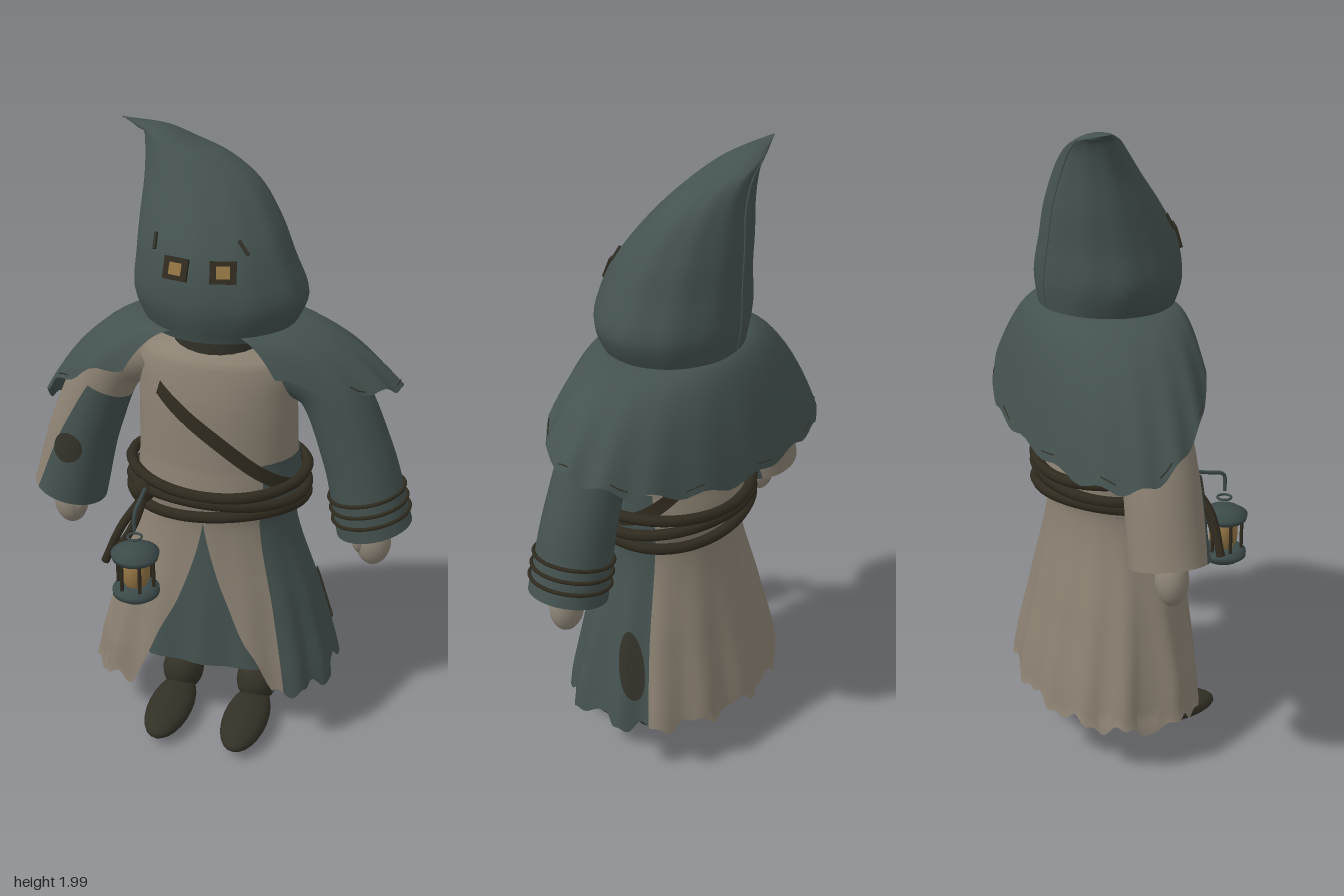
import * as THREE from 'three';
import { ParametricGeometry } from 'three/addons/geometries/ParametricGeometry.js';

const material = (name, color) => new THREE.MeshStandardMaterial({ name, color, side: THREE.DoubleSide });
const teal = material('tealCloth', 0x445250);
const tan = material('tanCloth', 0x8b8172);
const rope = material('darkRope', 0x302b1f);
const boot = material('bootLeather', 0x333126);
const patchMat = material('patchBrown', 0x34332a);
const skin = material('gloveTan', 0x8f8678);
const amber = material('amberGlow', 0x937544);
const metal = material('lanternMetal', 0x3c4a4a);

const { lerp, clamp } = THREE.MathUtils;
const TAU = Math.PI * 2;
const V = (x, y, z) => new THREE.Vector3(x, y, z);

// Smooth interpolation between rows of numbers, at a fractional row index
function sample(rows, t) {
  const i = Math.min(Math.floor(t), rows.length - 2), f = t - i;
  const at = k => rows[clamp(k, 0, rows.length - 1)];
  return rows[0].map((_, c) => {
    const [p, q, r, s] = [at(i - 1)[c], at(i)[c], at(i + 1)[c], at(i + 2)[c]];
    return q + 0.5 * f * (r - p + f * (2 * p - 5 * q + 4 * r - s + f * (3 * (q - r) + s - p)));
  });
}

export function createModel() {
  const model = new THREE.Group();
  model.name = 'hoodedWanderer';

  const add = (name, geometry, mat, pos = [0, 0, 0], scale = [1, 1, 1], parent = model) => {
    const m = new THREE.Mesh(geometry, mat);
    m.name = name;
    m.position.set(...pos);
    m.scale.set(...scale);
    parent.add(m);
    return m;
  };
  const sheet = (name, fn, nu, nv, mat) =>
    add(name, new ParametricGeometry((u, v, out) => out.copy(fn(u, v)), nu, nv), mat);
  const tube = (name, points, r, mat, closed = false) =>
    add(name, new THREE.TubeGeometry(new THREE.CatmullRomCurve3(points, closed), closed ? 72 : 20, r, 7, closed), mat);
  const ringOf = (n, fn) => Array.from({ length: n }, (_, i) => fn(i / n * TAU));
  // Oval patch laid on a surface fn(angle, height)
  const oval = (name, fn, a, h, ra, rh, slant = 0) => sheet(name, (u, v) => {
    const k = 0.02 + 0.98 * v, dh = Math.sin(u * TAU) * k;
    return fn(a + ra * Math.cos(u * TAU) * k + slant * dh, h + rh * dh);
  }, 24, 6, patchMat);

  // Robe cross-sections: height, half width, half depth, centre z
  const robeRows = [[0.1, 0.43, 0.29, -0.06], [0.2, 0.405, 0.275, -0.055], [0.5, 0.335, 0.235, -0.035],
    [0.8, 0.25, 0.195, -0.022], [0.9, 0.262, 0.208, -0.025], [1.0, 0.255, 0.19, -0.02],
    [1.2, 0.25, 0.165, -0.01], [1.335, 0.235, 0.135, -0.012], [1.39, 0.1, 0.09, -0.03]];
  // The skirt front is broader and flatter towards the hem
  const robe = (a, y, off = 0) => {
    let i = 0;
    while (i < robeRows.length - 2 && y > robeRows[i + 1][0]) i++;
    const f = clamp((y - robeRows[i][0]) / (robeRows[i + 1][0] - robeRows[i][0]), 0, 1);
    const [, w, d, cz] = sample(robeRows, i + f);
    const low = clamp((0.8 - y) / 0.5, 0, 1);
    const fold = 1 + 0.022 * Math.cos(14 * a) * low;
    const c = Math.cos(a), depth = c > 0 ? Math.pow(c, 1 - 0.42 * low) : c;
    return V((w + off) * fold * Math.sin(a), y, cz + (d + off) * fold * depth);
  };

  // Torso, with the coloured side panel reaching above the belt
  sheet('torso', (u, v) => robe(u * TAU, lerp(0.82, 1.39, v)), 48, 24, tan);
  sheet('torsoSidePanel', (u, v) => robe(lerp(0.75, 2.1, u), lerp(0.82, 1.02, v), 0.004), 16, 6, teal);

  // Skirt, split at the front with a ragged hem
  const hem = a => 0.2 + 0.03 * Math.sin(a) + 0.014 * Math.sin(13 * a) + 0.009 * Math.sin(29 * a);
  const skirt = (name, a0, a1, n, mat) => sheet(name, (u, v) => {
    const slit = 0.64 * Math.pow(1 - v, 1.15);
    const a = lerp(a0 ?? slit, a1 ?? TAU - slit, u);
    return robe(a, lerp(hem(a), 0.82, v));
  }, n, 18, mat);
  skirt('skirtFrontFlap', null, 0.75, 14, tan);
  skirt('skirtSidePanel', 0.75, 2.1, 34, teal);
  skirt('skirtBack', 2.1, null, 84, tan);
  oval('skirtPatch', (a, y) => robe(a, y, 0.008), 1.9, 0.44, 0.15, 0.115, -0.06);

  // Open underskirt, seen through the slit
  sheet('underskirt', (u, v) => robe(u * TAU, lerp(0.3, 0.84, v), -0.02), 64, 14, teal);

  // Rope belt, knot and hanging end
  [0.86, 0.9, 0.942].forEach((y, i) => tube('beltRope', ringOf(32, a => {
    const p = robe(a, 0.9, 0.022);
    p.y = y + 0.011 * Math.sin(2 * a + i * 2.1);
    return p;
  }), 0.018, rope, true));
  add('beltKnot', new THREE.SphereGeometry(0.04, 14, 10), rope, [-0.2, 0.9, 0.155], [1, 1, 0.9]);
  [0, 0.035].forEach(d => tube('ropeEnd', [V(-0.19, 0.89, 0.17), V(-0.25 + d, 0.8, 0.22), V(-0.305 + d, 0.67 + d, 0.235)], 0.014, rope));

  // Shoulder strap running over the chest, past the hip and up the back
  const strapRows = [[-0.62, 1.25], [0.1, 1.12], [0.75, 0.99], [1.3, 0.93], [1.9, 0.95], [2.7, 1.07], [3.7, 1.27]];
  sheet('strap', (u, v) => {
    const [a, y] = sample(strapRows, u * 6);
    return robe(a + (v - 0.5) * 0.08 * Math.cos(a), y + (v - 0.5) * 0.042, 0.012);
  }, 60, 1, rope);

  // Neck in the shade of the hood
  add('neck', new THREE.CylinderGeometry(0.15, 0.14, 0.12, 24), patchMat, [0, 1.405, -0.025], [1, 1, 0.85]);

  // Shoulder mantle with an uneven rim, open at the front
  const rimRows = [[1.33], [1.28], [1.24], [1.18], [1.11], [1.09], [1.05], [1.07], [1.2], [1.32]];
  const mantle = (u, v) => {
    const a = lerp(0.42, TAU - 0.42, u), w = 1 - v;
    const ragged = 0.011 * Math.sin(17 * a) * w * w * w;
    const rim = sample(rimRows, u * 9)[0];
    const spread = Math.pow(w, 0.85) + ragged * 0.3;
    return V(lerp(0, -0.012, w) + lerp(0.195, 0.575, spread) * Math.sin(a),
      1.45 - (1.45 - rim) * Math.pow(w, 1.85) + ragged,
      lerp(-0.03, -0.08, w) + lerp(0.185, 0.285, spread) * Math.cos(a));
  };
  sheet('mantle', mantle, 90, 14, teal);
  for (let i = 1; i < 10; i++) {
    const p = [-0.012, 0, 0.012].map(d => mantle(i / 10 + d, 0.03).add(V(0, 0.003, 0)));
    tube('mantleStitch', p, 0.002, patchMat);
  }

  // Hood cross-sections: height, centre x, half width, centre z, half depth, tilt
  const hoodRows = [[1.425, 0.005, 0.222, -0.035, 0.2, 0], [1.53, 0.005, 0.264, -0.028, 0.217, 0],
    [1.65, -0.015, 0.238, -0.034, 0.2, 0], [1.75, -0.037, 0.213, -0.058, 0.167, 0],
    [1.85, -0.07, 0.176, -0.086, 0.12, 0], [1.92, -0.12, 0.13, -0.108, 0.086, -0.05],
    [1.962, -0.185, 0.075, -0.126, 0.062, -0.12], [1.982, -0.255, 0.03, -0.132, 0.034, 0.2],
    [1.997, -0.33, 0.003, -0.135, 0.003, 0]];
  const hood = (a, t) => {
    const [y, cx, w, cz, d, tilt] = sample(hoodRows, t);
    const fold = 1 + 0.008 * Math.cos(11 * a) * Math.min(1, t);
    return V(cx + w * fold * Math.sin(a), y + tilt * w * Math.sin(a), cz + d * fold * Math.cos(a));
  };
  sheet('hood', (u, v) => hood(u * TAU, v * 8), 56, 40, teal);
  tube('hoodSeam', [0.3, 1, 2, 3, 4, 5, 6].map(t => hood(3.3, t)), 0.003, teal);

  // Eye holes and stitches set flat on the hood
  const onHood = (name, w, h, d, mat, x, t, roll = 0) => {
    const [, cx, hw] = sample(hoodRows, t), a = Math.asin((x - cx) / hw), p = hood(a, t);
    const n = hood(a + 0.01, t).sub(p).cross(hood(a, t + 0.01).sub(p)).normalize();
    const m = add(name, new THREE.BoxGeometry(w, h, d), mat);
    m.position.copy(p).addScaledVector(n, 0.003);
    m.lookAt(p.clone().addScaledVector(n, 1));
    m.rotateZ(roll);
  };
  for (const x of [-0.08, 0.06]) {
    onHood('eyeFrame', 0.078, 0.066, 0.009, rope, x, 1.96);
    onHood('eyeGlow', 0.04, 0.036, 0.013, amber, x, 1.96);
  }
  onHood('hoodStitch', 0.01, 0.05, 0.007, patchMat, -0.155, 2.55, 0.25);
  onHood('hoodStitch', 0.01, 0.05, 0.007, patchMat, 0.105, 2.55, 0.4);

  // Sleeves: a = 0 faces front, a quarter turn faces outward
  const arm = new THREE.CatmullRomCurve3([V(0.22, 1.31, 0), V(0.335, 1.26, 0), V(0.44, 1.04, 0), V(0.508, 0.785, 0)]);
  const sleeve = (s, a, t, off = 0) => {
    const p = arm.getPointAt(t), T = arm.getTangentAt(t), r = lerp(0.098, 0.121, t) + off;
    const o = r * Math.sin(a);
    return V(s * (p.x - T.y * o), p.y + T.x * o, -0.032 + 0.012 * t + r * Math.cos(a));
  };
  // Angle limits are given at the top and at the cuff
  const sleevePart = (name, s, [a0, a1], [b0, b1], t0, t1, mat) =>
    sheet(name, (u, v) => sleeve(s, lerp(lerp(a0, b0, v), lerp(a1, b1, v), u), lerp(t0, t1, v)), 32, 20, mat);
  sleevePart('leftSleeve', 1, [0, TAU], [0, TAU], 0, 1, teal);
  sleevePart('rightSleeveTop', -1, [0, TAU], [0, TAU], 0, 0.33, tan);
  sleevePart('rightSleeveOuter', -1, [0.2, TAU - 1.6], [0.8, TAU - 2.2], 0.33, 1, tan);
  sleevePart('rightSleeveInner', -1, [-1.6, 0.2], [-2.2, 0.8], 0.33, 1, teal);
  oval('rightSleevePatch', (a, t) => sleeve(-1, a, t, 0.006), 0.1, 0.69, 0.42, 0.08);
  for (const t of [0.8, 0.86, 0.92])
    tube('cuffBand', ringOf(20, a => sleeve(1, a, t, 0.004)), 0.006, rope, true);

  // Hands and boots
  const ball = new THREE.SphereGeometry(1, 24, 16);
  for (const [side, s] of [['left', 1], ['right', -1]]) {
    const hand = new THREE.Group();
    hand.name = side + 'Hand';
    model.add(hand);
    add('palm', ball, skin, [s * 0.508, 0.735, -0.012], [0.058, 0.085, 0.05], hand);
    add('thumb', ball, skin, [s * 0.468, 0.75, 0.005], [0.026, 0.055, 0.03], hand);
    const foot = new THREE.Group();
    foot.name = side + 'Boot';
    model.add(foot);
    add('shoe', ball, boot, [s * 0.132, 0.053, 0.122], [0.076, 0.047, 0.175], foot);
    add('ankle', ball, boot, [s * 0.132, 0.105, -0.035], [0.07, 0.082, 0.076], foot);
  }

  // Lantern hung from the belt
  const lantern = new THREE.Group();
  lantern.name = 'lantern';
  lantern.position.set(-0.183, 0.6, 0.295);
  model.add(lantern);
  const turned = pts => new THREE.LatheGeometry(pts.map(p => new THREE.Vector2(...p)), 24);
  add('lanternBase', turned([[0, 0], [0.055, 0], [0.074, 0.014], [0.074, 0.03], [0.055, 0.045], [0, 0.045]]), metal, [0, 0, 0], [1, 1, 1], lantern);
  add('lanternLid', turned([[0, 0.14], [0.072, 0.14], [0.076, 0.158], [0.05, 0.175], [0.02, 0.182], [0, 0.183]]), metal, [0, 0, 0], [1, 1, 1], lantern);
  add('lanternGlass', turned([[0.032, 0.04], [0.045, 0.07], [0.045, 0.115], [0.032, 0.142]]), amber, [0, 0, 0], [1, 1, 1], lantern);
  const post = new THREE.CylinderGeometry(0.006, 0.006, 0.1, 6);
  for (let i = 0; i < 6; i++)
    add('lanternPost', post, rope, [0.058 * Math.sin((i + 0.5) * TAU / 6), 0.092, 0.058 * Math.cos((i + 0.5) * TAU / 6)], [1, 1, 1], lantern);
  const ring = add('lanternRing', new THREE.TorusGeometry(0.022, 0.004, 6, 18), metal, [0, 0.212, 0], [1, 1, 1], lantern);
  ring.rotation.x = Math.PI / 2;
  tube('lanternHook', [V(-0.185, 0.92, 0.17), V(-0.184, 0.905, 0.24), V(-0.183, 0.892, 0.29), V(-0.183, 0.835, 0.296)], 0.006, metal);

  return model;
}
